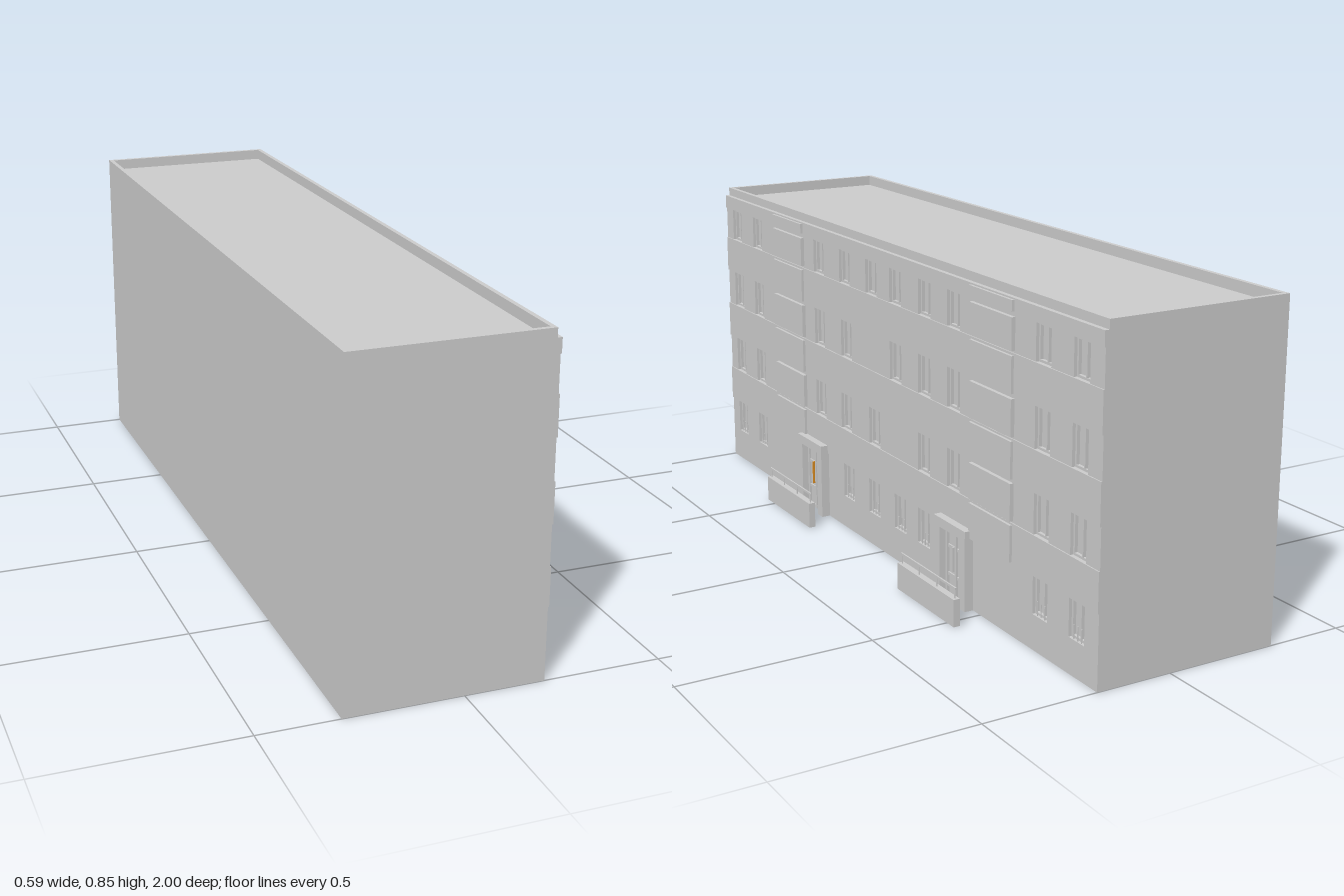
import * as THREE from 'three';

const grey = new THREE.MeshStandardMaterial({ color: 0xcccccc, flatShading: true });
const orange = new THREE.MeshStandardMaterial({ color: 0xd88a20, flatShading: true });

// Box given by its two opposite corners
function block(parent, name, x0, x1, y0, y1, z0, z1, material = grey) {
  const mesh = new THREE.Mesh(new THREE.BoxGeometry(x1 - x0, y1 - y0, z1 - z0), material);
  mesh.position.set((x0 + x1) / 2, (y0 + y1) / 2, (z0 + z1) / 2);
  mesh.name = name;
  parent.add(mesh);
  return mesh;
}

function group(parent, name) {
  const g = new THREE.Group();
  g.name = name;
  parent.add(g);
  return g;
}

const BACK = -0.297, GLASS = 0.185, WALL = 0.201, BAND = 0.204;

// Window with frame, mullion and, on the ground floor, a low grille
function addWindow(parent, y0, y1, z0, z1, grille) {
  const w = group(parent, 'window');
  const t = 0.006, x = 0.193;
  block(w, 'frameSide', GLASS, x, y0, y1, z0, z0 + t);
  block(w, 'frameSide', GLASS, x, y0, y1, z1 - t, z1);
  block(w, 'frameTop', GLASS, x, y1 - t, y1, z0 + t, z1 - t);
  block(w, 'frameBottom', GLASS, x, y0, y0 + t, z0 + t, z1 - t);
  const m = z0 + (z1 - z0) * 0.4;
  block(w, 'mullion', GLASS, x, y0 + t, y1 - t, m - 0.002, m + 0.002);
  if (!grille) return;
  for (let i = 1; i <= 3; i++) {
    const z = z0 + ((z1 - z0) * i) / 4;
    block(w, 'grilleBar', 0.196, 0.198, y0, y0 + 0.035, z - 0.001, z + 0.001);
  }
}

// One floor: piers fill the wall between the windows
function addFloor(parent, y0, y1, centres, grille) {
  const floor = group(parent, 'windowRow');
  const half = 0.031;
  let z = -1;
  for (const c of [...centres].sort((a, b) => a - b)) {
    block(floor, 'pier', GLASS, WALL, y0, y1, z, c - half);
    addWindow(floor, y0, y1, c - half, c + half, grille);
    z = c + half;
  }
  block(floor, 'pier', GLASS, WALL, y0, y1, z, 1);
}

// Entrance portal with a glazed door set back inside
function addEntrance(parent, zc, material) {
  const e = group(parent, 'entrance');
  const h = 0.076, side = 0.028, front = 0.225;
  for (const s of [-1, 1]) {
    const a = zc + s * h, b = zc + s * (h - side);
    block(e, 'portalSide', GLASS, front, 0, 0.185, Math.min(a, b), Math.max(a, b));
  }
  block(e, 'portalRoof', GLASS, front, 0.185, 0.21, zc - h, zc + h);
  const w = h - side;
  for (const z of [-w + 0.004, 0, w - 0.004]) {
    block(e, 'doorPost', GLASS, 0.207, 0, 0.185, zc + z - 0.004, zc + z + 0.004);
  }
  for (const y of [0.004, 0.06, 0.135, 0.181]) {
    block(e, 'doorRail', GLASS, 0.205, y - 0.004, y + 0.004, zc - w, zc + w);
  }
  block(e, 'doorHandle', 0.205, 0.212, 0.075, 0.14, zc + 0.005, zc + 0.009, material);
}

// Low wall with handrail in front of an entrance
function addScreen(parent, z0, z1) {
  const s = group(parent, 'screenWall');
  block(s, 'lowWall', 0.277, 0.295, 0, 0.071, z0, z1);
  block(s, 'handrail', 0.284, 0.288, 0.093, 0.099, z0 + 0.005, z1 - 0.005);
  for (let i = 0; i < 4; i++) {
    const z = z0 + 0.01 + ((z1 - z0 - 0.02) * i) / 3;
    block(s, 'railPost', 0.285, 0.287, 0.071, 0.093, z - 0.002, z + 0.002);
  }
}

export function createModel() {
  const model = new THREE.Group();
  model.name = 'apartmentBlock';

  // Main body and parapet
  block(model, 'body', BACK, GLASS, 0, 0.822, -1, 1);
  const parapet = group(model, 'parapet');
  block(parapet, 'parapetBack', BACK, BACK + 0.012, 0.822, 0.85, -1, 1);
  block(parapet, 'parapetFront', 0.18, 0.192, 0.822, 0.85, -1, 1);
  for (const s of [-1, 1]) {
    block(parapet, 'parapetEnd', BACK + 0.012, 0.18, 0.822, 0.85, s * 0.994 - 0.006, s * 0.994 + 0.006);
  }

  // Plinth and horizontal bands between the window rows
  block(model, 'plinth', GLASS, WALL, 0, 0.09, -1, 1);
  for (const [y0, y1] of [[0.187, 0.287], [0.39, 0.493], [0.597, 0.698], [0.79, 0.827]]) {
    block(model, 'facadeBand', GLASS, BAND, y0, y1, -1, 1);
  }

  // Window rows, each with pairs at the two ends
  const ends = [0.924, 0.777, -0.765, -0.915];
  addFloor(model, 0.09, 0.187, [...ends, 0.2, 0.05, -0.095, -0.22], true);
  addFloor(model, 0.287, 0.39, [...ends, 0.367, 0.21, 0.045, -0.223, -0.37], false);
  addFloor(model, 0.493, 0.597, [...ends, 0.367, 0.205, -0.075, -0.225, -0.37], false);
  addFloor(model, 0.698, 0.79, [...ends, 0.367, 0.21, 0.057, -0.075, -0.227, -0.37], false);

  // Two stacks of raised panels over the stairwells
  const panels = [[0.19, 0.282], [0.292, 0.385], [0.396, 0.488], [0.498, 0.59],
    [0.602, 0.692], [0.704, 0.783], [0.796, 0.823]];
  for (const zc of [0.553, -0.553]) {
    const stack = group(model, 'stairwellPanels');
    for (const [y0, y1] of panels) block(stack, 'panel', WALL - 0.004, 0.211, y0, y1, zc - 0.094, zc + 0.094);
  }

  // Entrances and the screens before them
  addEntrance(model, 0.403, orange);
  addEntrance(model, -0.39, grey);
  addScreen(model, 0.266, 0.543);
  addScreen(model, -0.532, -0.25);
  return model;
}
